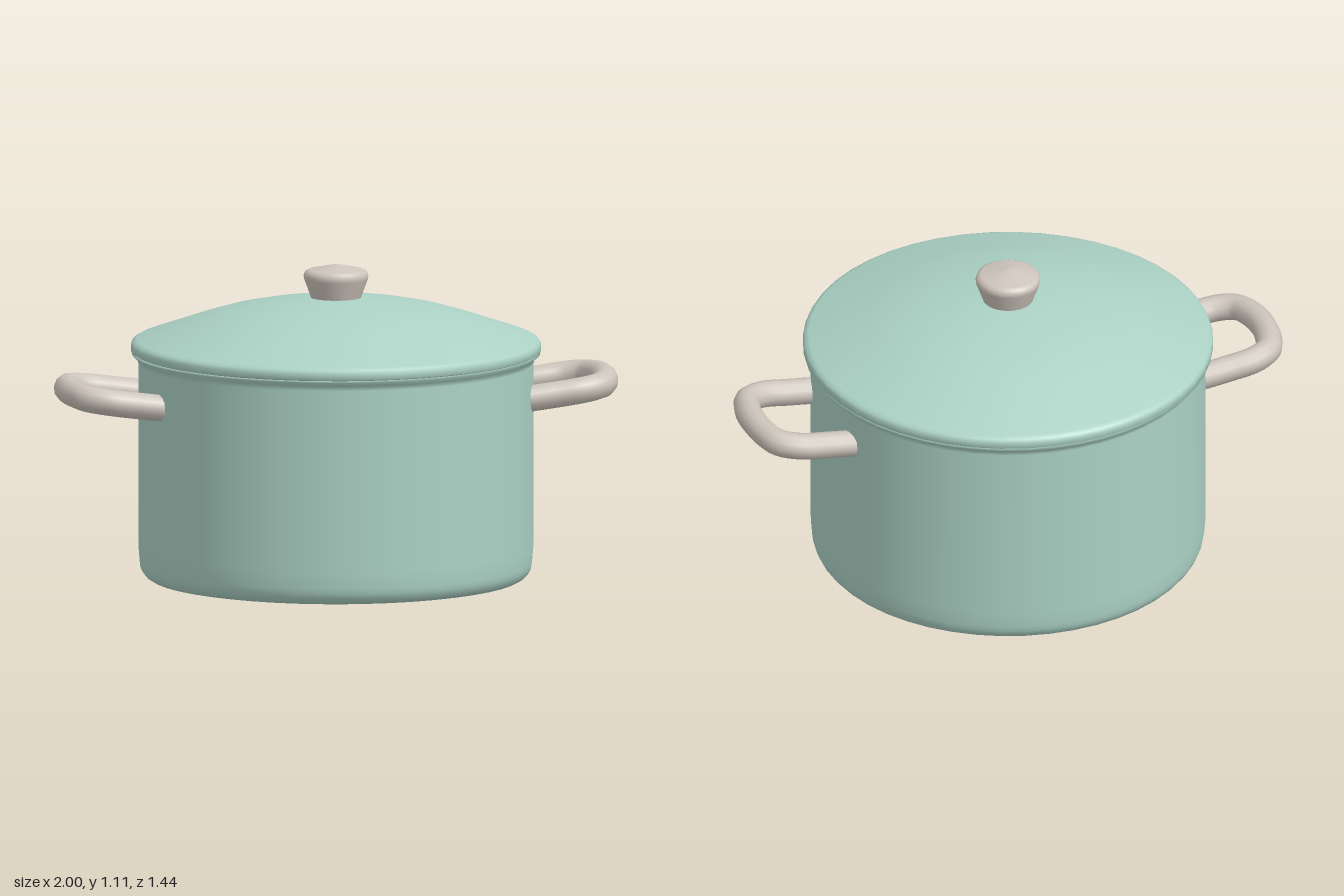
import * as THREE from 'three';

const enamel = new THREE.MeshStandardMaterial({ color: 0xacd2c5 });
enamel.name = 'mint enamel';
const stone = new THREE.MeshStandardMaterial({ color: 0xcdc5bc });
stone.name = 'warm grey';

const SEGMENTS = 48;

// Turned part from [radius, height] pairs, listed from bottom to top
function turned(name, points, material, segments = SEGMENTS) {
  const profile = points.map(([r, y]) => new THREE.Vector2(r, y));
  const mesh = new THREE.Mesh(new THREE.LatheGeometry(profile, segments), material);
  mesh.name = name;
  return mesh;
}

// Rounded loop handle on one side of the pot
function handle(name, side) {
  const half = [[0.655, 0.646, 0.193], [0.75, 0.658, 0.193], [0.85, 0.672, 0.19], [0.915, 0.681, 0.157], [0.943, 0.686, 0.09]];
  const points = [
    ...half.map(([x, y, z]) => new THREE.Vector3(side * x, y, z)),
    new THREE.Vector3(side * 0.953, 0.689, 0),
    ...half.slice().reverse().map(([x, y, z]) => new THREE.Vector3(side * x, y, -z)),
  ];
  const group = new THREE.Group();
  group.name = name;
  const grip = new THREE.Mesh(
    new THREE.TubeGeometry(new THREE.CatmullRomCurve3(points), 48, 0.047, 12), stone);
  grip.name = name + 'Grip';
  group.add(grip);
  // Domed ends closing the tube
  for (const end of [points[0], points[points.length - 1]]) {
    const cap = new THREE.Mesh(new THREE.SphereGeometry(0.046, 12, 8), stone);
    cap.name = name + 'End';
    cap.scale.x = 0.35;
    cap.position.copy(end);
    group.add(cap);
  }
  return group;
}

export function createModel() {
  const model = new THREE.Group();
  model.name = 'cookingPot';

  // Pot wall with a rounded foot, flared lip and hollow inside
  const foot = [];
  for (let i = 0; i <= 5; i++) {
    const a = (i / 5) * Math.PI / 2;
    foot.push([0.64 + 0.05 * Math.sin(a), 0.06 - 0.06 * Math.cos(a)]);
  }
  model.add(turned('potBody', [
    ...foot, [0.695, 0.12], [0.695, 0.765], [0.7, 0.782], [0.718, 0.797],
    [0.71, 0.803], [0.665, 0.79], [0.66, 0.08], [0.62, 0.04], [0, 0.04],
  ], enamel));

  // Flat underside
  const base = new THREE.Mesh(new THREE.CircleGeometry(0.64, SEGMENTS), enamel);
  base.name = 'potBase';
  base.rotation.x = Math.PI / 2;
  model.add(base);

  // Domed lid with an upright rim
  model.add(turned('lid', [
    [0, 0.803], [0.712, 0.803], [0.721, 0.808], [0.721, 0.828], [0.715, 0.84], [0.7, 0.848],
    [0.6, 0.882], [0.5, 0.917], [0.4, 0.947], [0.3, 0.968], [0.2, 0.984], [0.1, 0.995], [0, 0.998],
  ], enamel));

  // Lid knob
  model.add(turned('knob', [
    [0.086, 0.985], [0.09, 1.0], [0.112, 1.06], [0.114, 1.073], [0.109, 1.087], [0.095, 1.094], [0, 1.114],
  ], stone, 32));

  model.add(handle('leftHandle', 1), handle('rightHandle', -1));
  return model;
}
